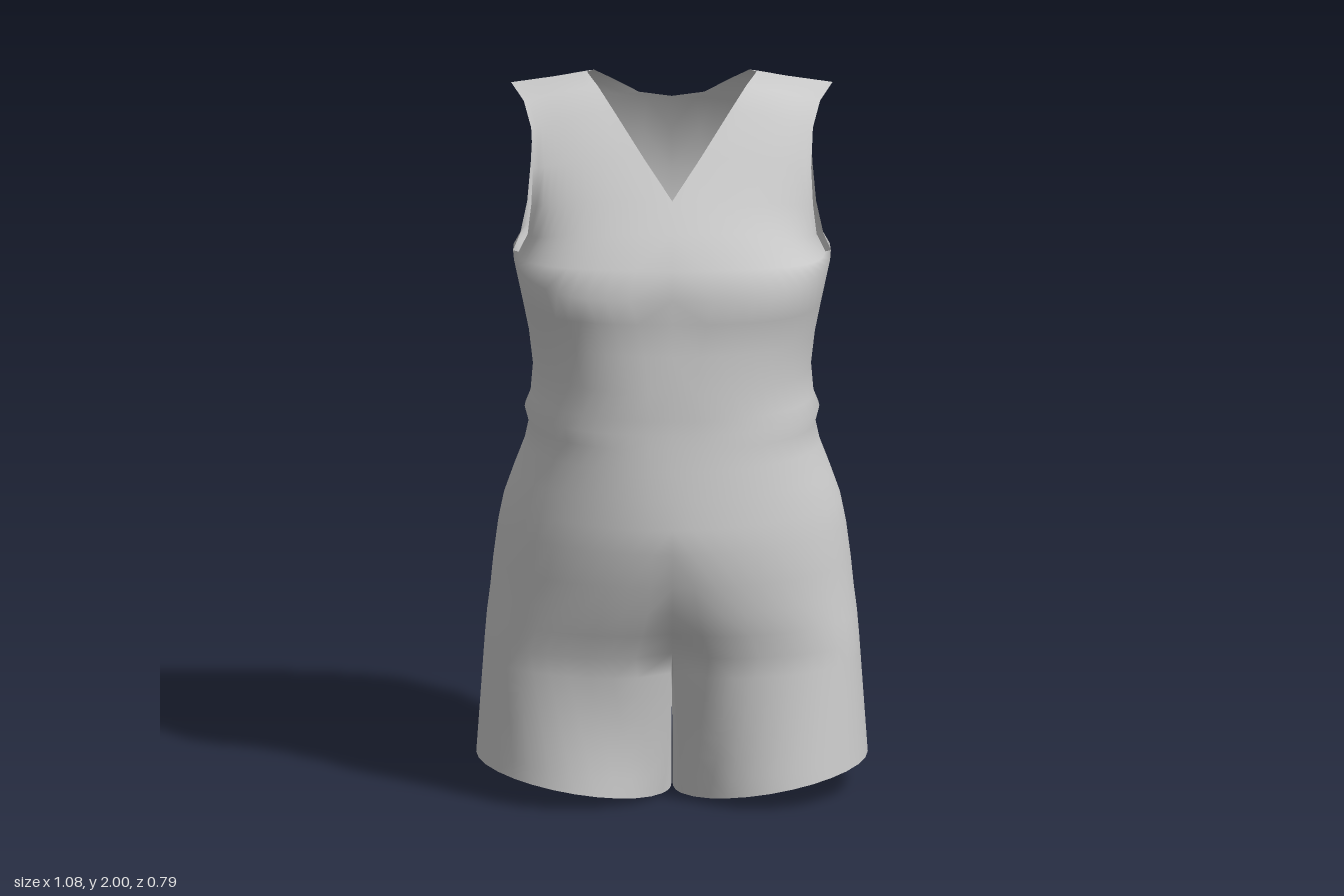
import * as THREE from 'three';
import { mergeGeometries, mergeVertices } from 'three/addons/utils/BufferGeometryUtils.js';

const Q = 12; // columns per quarter of the body
const CHEST = 3.1; // roundness of the chest outline
const lerp = THREE.MathUtils.lerp;

// Rounded quarter outline: u = 0 at the centre line, 1 at the side
function quarter(u, n) {
  const a = u * Math.PI / 2;
  return [Math.sin(a) ** (2 / n), 1 - Math.max(0, Math.cos(a)) ** (2 / n)];
}

// Turn rows of points into a surface; mirrored for the other half of the body
function grid(rows, mirror) {
  const cols = rows[0].length, pos = [], index = [];
  for (const row of rows) for (const [x, y, z] of row) pos.push(mirror ? -x : x, y, z);
  for (let r = 0; r < rows.length - 1; r++) {
    for (let c = 0; c < cols - 1; c++) {
      const a = r * cols + c, b = a + 1, d = a + cols, e = d + 1;
      if (mirror) index.push(a, d, b, b, d, e);
      else index.push(a, b, d, b, e, d);
    }
  }
  const g = new THREE.BufferGeometry();
  g.setAttribute('position', new THREE.Float32BufferAttribute(pos, 3));
  g.setIndex(index);
  return g;
}

// Torso rows: height, half width, front z, back z, side z, front and back roundness, centre groove
const torso = [
  [0.43, 0.518, 0.305, -0.385, 0, 2.5, 2.6, 0.25],
  [0.50, 0.512, 0.335, -0.4, 0, 2.25, 2.7, 0.12],
  [0.57, 0.503, 0.36, -0.398, 0, 2.05, 2.7, 0.06],
  [0.65, 0.495, 0.38, -0.388, 0, 1.95, 2.6, 0.03],
  [0.75, 0.482, 0.395, -0.37, 0, 1.9, 2.5, 0],
  [0.82, 0.468, 0.39, -0.35, 0, 1.9, 2.4, 0],
  [0.90, 0.44, 0.38, -0.315, 0, 2, 2.4, 0],
  [0.98, 0.41, 0.367, -0.295, 0, 2.1, 2.3, 0],
  [1.04, 0.397, 0.358, -0.292, 0, 2.2, 2.3, 0],
  [1.08, 0.408, 0.352, -0.308, 0, 2.2, 2.3, 0],
  [1.12, 0.392, 0.348, -0.293, 0, 2.2, 2.3, 0],
  [1.20, 0.385, 0.343, -0.303, -0.01, 2.3, 2.3, 0],
  [1.30, 0.397, 0.33, -0.33, -0.02, 2.5, 2.5, 0],
  [1.39, 0.415, 0.325, -0.35, -0.035, 2.8, 2.8, 0],
  [1.46, 0.44, 0.335, -0.362, -0.05, CHEST, CHEST, 0],
];

// Half ring running front centre -> side -> back centre
function halfRing([y, w, zf, zb, zs, nf, nb, groove], rise) {
  const ring = [];
  for (let j = 0; j <= 2 * Q; j++) {
    const front = j <= Q;
    const [X, Z] = front ? quarter(j / Q, nf) : quarter((2 * Q - j) / Q, nb);
    const x = w * X;
    const z = lerp(front ? zf : zb, zs, Z) * (1 - groove * Math.exp(-((x / 0.08) ** 2)));
    ring.push([x, y + rise * X ** 5, z]);
  }
  return ring;
}
const torsoRows = torso.map((r, i) => halfRing(r, i === torso.length - 1 ? 0.05 : 0));

// Leg: hem outline blended up into the half ring and the crotch saddle
function legRows() {
  const K = 10, top = torsoRows[0].slice(), hem = [];
  const back = top[2 * Q], front = top[0], seam = 155;
  for (let k = 1; k <= K; k++) {
    const s = k / K;
    top.push([0, front[1] - 0.12 * Math.sin(Math.PI * s), lerp(back[2], front[2], s)]);
  }
  top.forEach((p, j) => {
    const deg = j <= 2 * Q ? seam - seam * j / Q : -seam - (360 - 2 * seam) * (j - 2 * Q) / K;
    const c = Math.cos(deg * Math.PI / 180), s = Math.sin(deg * Math.PI / 180);
    const square = c > 0 && s < 0 ? 0.8 : 1; // fuller at the outer back
    const x = 0.272 + 0.27 * Math.sign(c) * Math.abs(c) ** square;
    hem.push([x, 0.17 * x, 0.305 * Math.sign(s) * Math.abs(s) ** square]);
  });
  const rows = [];
  for (let i = 0; i <= 7; i++) {
    const t = i / 7;
    rows.push(hem.map((h, j) => [0, 1, 2].map((k) => lerp(h[k], top[j][k], t))));
  }
  return rows;
}

// Bodice panels: pairs of centre/neckline point and armhole point, up to the shoulder
const shoulder = [[0.235, 2.0, -0.13], [0.445, 1.975, -0.11]];
const frontEdges = [
  [[0, 1.46, 0.335], [0.44, 1.51, -0.05]],
  [[0, 1.54, 0.31], [0.425, 1.525, 0.025]],
  [[0, 1.63, 0.25], [0.40, 1.59, 0.085]],
  [[0, 1.71, 0.19], [0.39, 1.68, 0.11]],
  [[0.08, 1.815, 0.11], [0.385, 1.78, 0.09]],
  [[0.16, 1.925, 0.025], [0.39, 1.88, 0.03]],
  [[0.205, 1.98, -0.045], [0.41, 1.94, -0.035]],
  shoulder,
];
const backEdges = [
  [[0, 1.46, -0.362], [0.44, 1.51, -0.05]],
  [[0, 1.56, -0.377], [0.42, 1.53, -0.16]],
  [[0, 1.66, -0.38], [0.40, 1.60, -0.25]],
  [[0, 1.78, -0.36], [0.39, 1.70, -0.295]],
  [[0, 1.885, -0.31], [0.385, 1.80, -0.285]],
  [[0.09, 1.9, -0.298], [0.385, 1.87, -0.25]],
  [[0.17, 1.95, -0.265], [0.395, 1.915, -0.22]],
  [[0.215, 1.988, -0.2], [0.42, 1.955, -0.165]],
  shoulder,
];
function panelRows(edges, isBack) {
  return edges.map(([inner, outer], i) => {
    const blend = i / (edges.length - 1), row = [];
    for (let j = 0; j <= Q; j++) {
      const u = j / Q, [X, Z] = quarter(u, CHEST);
      const mix = [lerp(X, u, blend), lerp(X ** 5, u, blend), lerp(Z, u, blend)];
      row.push(mix.map((f, k) => lerp(inner[k], outer[k], f)));
    }
    return isBack ? row.reverse() : row;
  });
}

export function createModel() {
  const group = new THREE.Group();
  group.name = 'sleevelessRomper';
  const parts = [legRows(), torsoRows, panelRows(frontEdges, false), panelRows(backEdges, true)];
  const halves = parts.flatMap((rows) => [grid(rows, false), grid(rows, true)]);

  // Weld the panels into one cloth so the shading runs across the seams
  const cloth = mergeVertices(mergeGeometries(halves), 1e-4);
  cloth.computeVertexNormals();
  const mesh = new THREE.Mesh(cloth, new THREE.MeshStandardMaterial({ color: 0xcccccc, side: THREE.DoubleSide }));
  mesh.name = 'romperCloth';
  group.add(mesh);
  return group;
}
